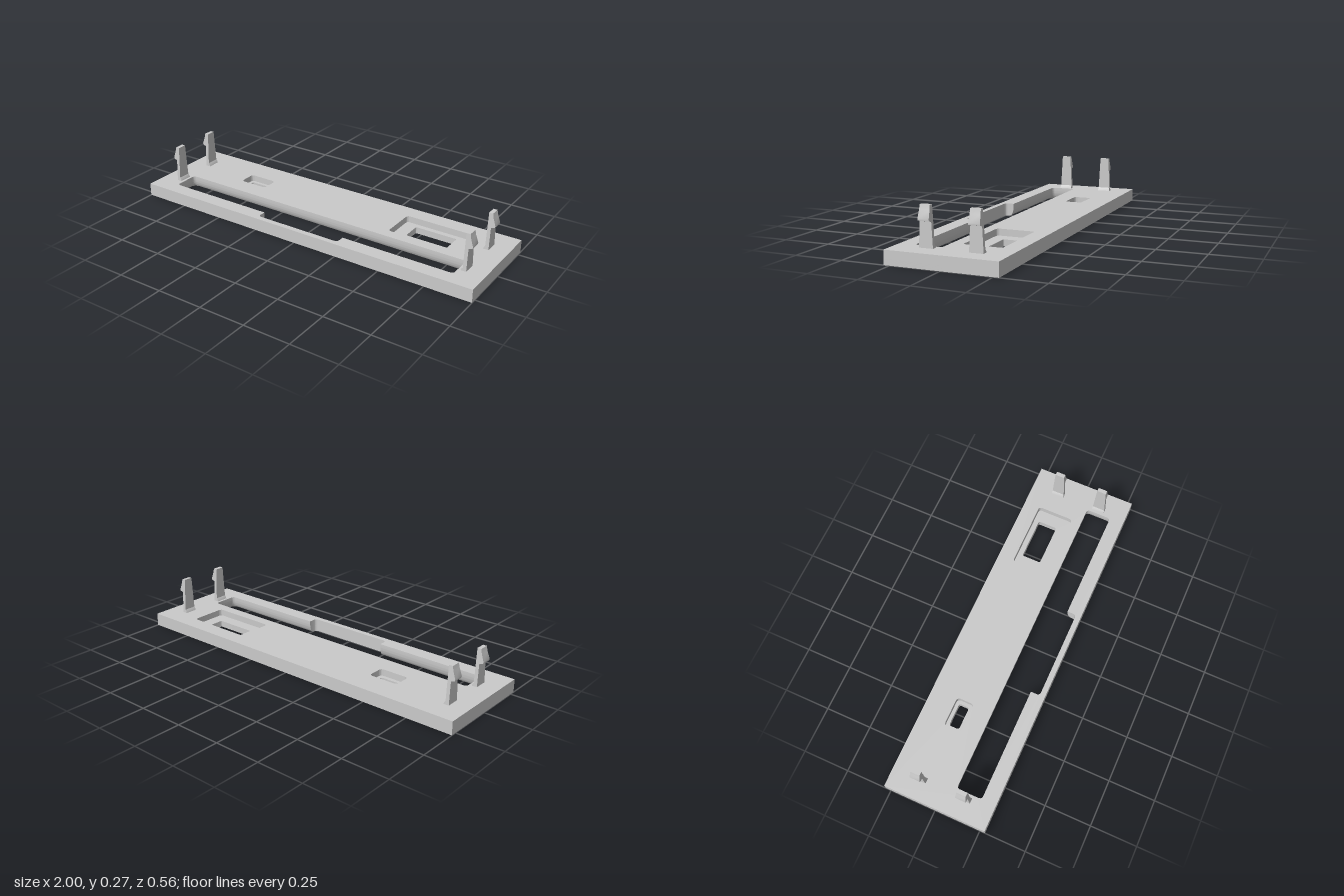
import * as THREE from 'three';
import { toCreasedNormals } from 'three/addons/utils/BufferGeometryUtils.js';

const TOP = 0.07, LEDGE = 0.035;
const SLOT = { x: 0.862, z0: 0.062, z1: 0.2, r: 0.02 };

// Closed outline in plan; each corner is [x, z, radius]
function outline(corners, target = new THREE.Path()) {
  const n = corners.length;
  corners.forEach(([x, z, r], i) => {
    const toward = ([px, pz]) => {
      const d = Math.hypot(px - x, pz - z);
      return [x + (px - x) / d * r, -(z + (pz - z) / d * r)];
    };
    const a = toward(corners[(i + n - 1) % n]);
    const b = toward(corners[(i + 1) % n]);
    if (i === 0) target.moveTo(...a); else target.lineTo(...a);
    if (r > 0) target.quadraticCurveTo(x, -z, ...b);
  });
  target.closePath();
  return target;
}

const rect = (x0, x1, z0, z1, r) => [[x0, z0, r], [x1, z0, r], [x1, z1, r], [x0, z1, r]];

// Long slot with a shallow notch in its front edge
function slotCorners() {
  const { x, z0, z1, r } = SLOT;
  return [[-x, z0, r], [x, z0, r], [x, z1, r], [0.247, z1, 0], [0.247, 0.25, r],
    [-0.247, 0.25, r], [-0.247, z1, 0], [-x, z1, r]];
}

// Slot walls curve outward toward the underside
function flareSlot(geo) {
  const p = geo.attributes.position;
  const { x: sx, z0, z1, r } = SLOT;
  for (let i = 0; i < p.count; i++) {
    const x = p.getX(i), y = p.getY(i), z = p.getZ(i);
    if (Math.abs(x) > sx + 0.001 || z < z0 - 0.001 || z > 0.251) continue;
    const t = THREE.MathUtils.clamp((0.06 - y) / 0.06, 0, 1);
    const f = 0.025 * (1 - Math.sqrt(1 - t * t));
    if (z > z1 + 0.001) {
      p.setZ(i, Math.max(z, z1 + f));
      continue;
    }
    const dx = x - THREE.MathUtils.clamp(x, -sx + r, sx - r);
    const dz = z - THREE.MathUtils.clamp(z, z0 + r, z1 - r);
    const d = Math.hypot(dx, dz) || 1;
    p.setX(i, x + dx / d * f);
    p.setZ(i, z + dz / d * f);
  }
}

function plateLayer(name, y0, y1, openings, material) {
  // The outer edge runs counter-clockwise so the hole walls face inward
  const shape = outline(rect(-1, 1, -0.279, 0.279, 0).reverse(), new THREE.Shape());
  shape.holes = [slotCorners(), ...openings].map((c) => outline(c));
  const geo = new THREE.ExtrudeGeometry(shape, {
    depth: y1 - y0, steps: 6, bevelEnabled: false, curveSegments: 6,
  });
  geo.rotateX(-Math.PI / 2).translate(0, y0, 0);
  flareSlot(geo);
  const mesh = new THREE.Mesh(toCreasedNormals(geo, 0.6), material);
  mesh.name = name;
  return mesh;
}

// Snap clip: barbed profile, narrowing toward its tip
function snapClip(side, z, material) {
  const profile = [[0.875, 0.065], [0.879, 0.078], [0.886, 0.088], [0.887, 0.267], [0.908, 0.267],
    [0.913, 0.243], [0.926, 0.205], [0.925, 0.196], [0.905, 0.191], [0.905, 0.065]];
  const shape = new THREE.Shape(profile.map(([x, y]) => new THREE.Vector2(side * x, y)));
  const geo = new THREE.ExtrudeGeometry(shape, { depth: 2, bevelEnabled: false });
  geo.translate(0, 0, -1);
  const p = geo.attributes.position;
  for (let i = 0; i < p.count; i++) {
    const half = THREE.MathUtils.mapLinear(p.getY(i), TOP, 0.267, 0.035, 0.025);
    p.setZ(i, p.getZ(i) * half);
  }
  const mesh = new THREE.Mesh(toCreasedNormals(geo, 0.5), material);
  mesh.position.z = z;
  mesh.name = (side > 0 ? 'left' : 'right') + (z > 0 ? 'Front' : 'Back') + 'Clip';
  return mesh;
}

export function createModel() {
  const grey = new THREE.MeshStandardMaterial({ color: 0xcacaca });
  grey.name = 'grey plastic';
  const group = new THREE.Group();
  group.name = 'clipOnPanel';

  // Lower layer has the through holes, upper layer the wider recesses
  group.add(plateLayer('lowerPlate', 0, LEDGE, [
    rect(-0.577, -0.45, -0.12, -0.064, 0.014),
    rect(0.468, 0.7, -0.164, -0.058, 0.01),
  ], grey));
  group.add(plateLayer('upperPlate', LEDGE, TOP, [
    rect(-0.594, -0.432, -0.138, -0.043, 0.02),
    rect(0.399, 0.768, -0.192, 0.006, 0.018),
  ], grey));

  for (const side of [-1, 1]) {
    for (const z of [0.119, -0.128]) group.add(snapClip(side, z, grey));
  }
  return group;
}
